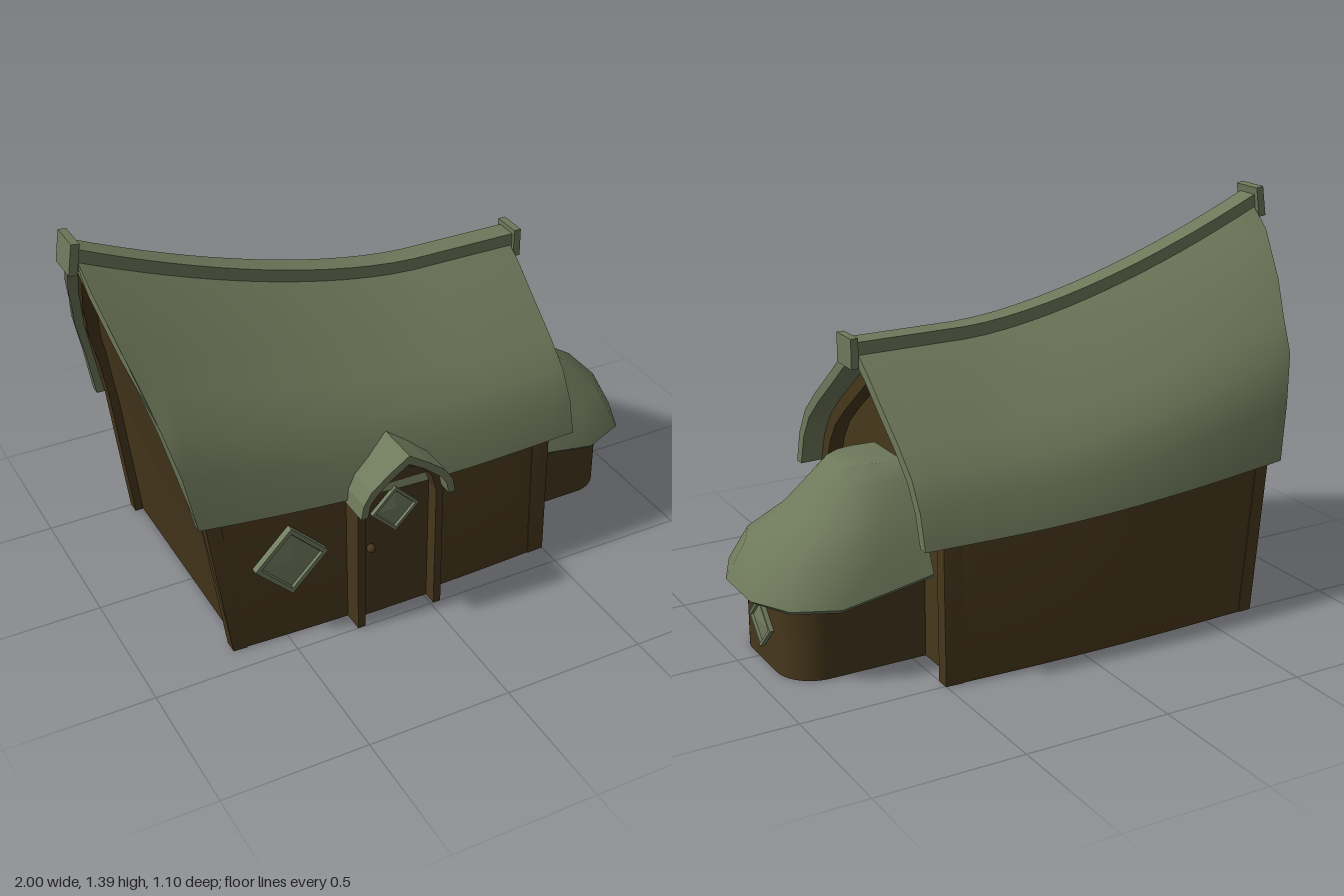
import * as THREE from 'three';
import { toCreasedNormals } from 'three/addons/utils/BufferGeometryUtils.js';

const thatch = new THREE.MeshStandardMaterial({ color: 0x6e785a });
const timber = new THREE.MeshStandardMaterial({ color: 0x46371c });
const pane = new THREE.MeshStandardMaterial({ color: 0x727c60, flatShading: true });
const V = (x, y, z) => new THREE.Vector3(x, y, z);
const lerp = THREE.MathUtils.lerp;
const CZ = -0.045; // centre line of the house

// Closed solid through matching loops; caps are triangulated on axes a, b.
function loft(loops, a, b, crease = 0.6) {
  const n = loops[0].length;
  const tris = [];
  for (let s = 0; s < loops.length - 1; s++) {
    for (let i = 0; i < n; i++) {
      const j = (i + 1) % n;
      const p = loops[s], q = loops[s + 1];
      tris.push([p[i], p[j], q[j]], [p[i], q[j], q[i]]);
    }
  }
  [loops[0], loops[loops.length - 1]].forEach((loop, end) => {
    const flat = loop.map(p => new THREE.Vector2(p[a], p[b]));
    const sign = Math.sign(THREE.ShapeUtils.area(flat));
    for (const f of THREE.ShapeUtils.triangulateShape(flat, [])) {
      const same = Math.sign(THREE.ShapeUtils.area(f.map(i => flat[i]))) === sign;
      const t = f.map(i => loop[i]);
      tris.push(same === (end === 1) ? t : t.reverse());
    }
  });
  // Turn the solid outward if its volume came out negative
  const volume = tris.reduce((v, [p, q, r]) => v + p.dot(q.clone().cross(r)), 0);
  if (volume < 0) tris.forEach(t => t.reverse());
  const g = new THREE.BufferGeometry().setFromPoints(tris.flat());
  return toCreasedNormals(g, crease);
}

function add(parent, name, geometry, material, x = 0, y = 0, z = 0) {
  const mesh = new THREE.Mesh(geometry, material);
  mesh.name = name;
  mesh.position.set(x, y, z);
  parent.add(mesh);
  return mesh;
}

// Roof profiles from ridge to eave: [half width, height] at each gable
const TALL = [[0, 1.345], [0.12, 1.25], [0.245, 1.1], [0.32, 0.99], [0.395, 0.88], [0.44, 0.72], [0.465, 0.53]];
const LOW = [[0, 1.02], [0.1, 0.95], [0.2, 0.865], [0.31, 0.775], [0.4, 0.69], [0.455, 0.595], [0.485, 0.48]];
const END_X = [-0.965, -0.955, -0.92, -0.89, -0.865, -0.825, -0.79];
const INSET = [[0, 0.045], [0.02, 0.03], [0.022, 0.028], [0.025, 0.025], [0.03, 0.02], [0.035, 0.01], [0.035, 0]];
const bulge = u => 0.02 * Math.sin(Math.PI * u);

// Half profile at u (0 tall gable, 1 low gable), moved inward by d roof thicknesses
function profile(u, d, toGround) {
  const k = Math.pow(Math.max(0, 1 - u / 0.75), 1.6);
  const pts = END_X.map((x, j) => V(
    lerp(x, 0.58, u),
    lerp(LOW[j][1], TALL[j][1], k) - INSET[j][1] * d,
    Math.max(0, lerp(LOW[j][0], TALL[j][0], k) + bulge(u) * j / 6 - INSET[j][0] * d)));
  if (toGround) pts.push(V(lerp(-0.72, 0.575, u), 0, 0.49 + bulge(u) - 0.035 * d));
  return pts;
}

// Full arch from the front foot over the ridge to the back foot
function arch(u, d, toGround) {
  const half = profile(u, d, toGround);
  const front = half.slice().reverse().map(p => V(p.x, p.y, CZ + p.z));
  return front.concat(half.slice(1).map(p => V(p.x, p.y, CZ - p.z)));
}
const band = (u, d0, d1, ground) => arch(u, d0, ground).concat(arch(u, d1, ground).reverse());
const steps = (from, to, n) => Array.from({ length: n + 1 }, (_, i) => lerp(from, to, i / n));

// Shape with a symmetric outline given by its right half, foot to peak
const mirrored = half => half.concat(half.slice(0, -1).reverse().map(([x, y]) => [-x, y]));
function extrude(outline, depth) {
  const shape = new THREE.Shape(outline.map(p => new THREE.Vector2(...p)));
  return new THREE.ExtrudeGeometry(shape, { depth, bevelEnabled: false });
}

// Diamond window with a raised rim and a faceted pane
function diamond(parent, name, r, x, y, z, turn = 0) {
  const pts = [[0, 0], [r, 0], [r, 0.025], [r * 0.84, 0.025], [r * 0.8, 0.016], [0, 0.022]];
  const g = new THREE.LatheGeometry(pts.map(p => new THREE.Vector2(...p)), 4);
  g.rotateX(Math.PI / 2).rotateY(turn);
  add(parent, name, g, pane, x, y, z);
}

export function createModel() {
  const house = new THREE.Group();
  house.name = 'cottage';

  // Main walls and gable frames
  add(house, 'walls', loft(steps(0.045, 0.905, 16).map(u => arch(u, 1.05, true)), 'z', 'y'), timber);
  for (const [name, a, b] of [['tallGableFrame', 0.022, 0.06], ['lowGableFrame', 0.895, 0.943]]) {
    add(house, name, loft([a, b].map(u => band(u, 0.95, 2.3, true)), 'z', 'y'), timber);
  }

  // Swept roof with ridge beam and end blocks
  add(house, 'roof', loft(steps(0, 1, 20).map(u => band(u, 0, 1, false)), 'z', 'y'), thatch);
  const beam = steps(0, 1, 20).map(u => {
    const top = profile(u, 0)[0];
    return [[0.04, -0.06], [0.04, 0.015], [-0.04, 0.015], [-0.04, -0.06]]
      .map(([z, y]) => V(top.x + 0.005 * u, top.y + y, CZ + z));
  });
  add(house, 'ridgeBeam', loft(beam, 'z', 'y'), thatch);
  add(house, 'tallRidgeBlock', new THREE.BoxGeometry(0.028, 0.105, 0.115), thatch, -0.977, 1.333, CZ)
    .rotation.z = -0.15;
  add(house, 'lowRidgeBlock', new THREE.BoxGeometry(0.026, 0.1, 0.105), thatch, 0.598, 1.002, CZ);

  // Arched door with frame and canopy
  const door = new THREE.Group();
  door.name = 'doorway';
  door.position.x = -0.12;
  house.add(door);
  const inner = [[0.13, 0], [0.13, 0.47], [0.112, 0.535], [0.065, 0.585], [0, 0.605]];
  const outer = [[0.157, 0], [0.157, 0.485], [0.135, 0.555], [0.075, 0.612], [0, 0.65]];
  const lip = [[0.172, 0.485], [0.162, 0.535], [0.135, 0.578], [0.07, 0.63], [0, 0.677]];
  const under = [[0.148, 0.485], [0.138, 0.53], [0.115, 0.56], [0.055, 0.61], [0, 0.645]];
  const ring = (o, i) => mirrored(o).concat(mirrored(i).reverse());
  add(door, 'doorPanel', extrude(mirrored(inner), 0.08), timber, 0, 0, 0.37);
  add(door, 'doorFrame', extrude(ring(outer, inner), 0.13), timber, 0, 0, 0.37);
  add(door, 'doorCanopy', extrude(ring(lip, under), 0.17), thatch, 0, 0, 0.38);
  add(door, 'doorKnob', new THREE.SphereGeometry(0.016, 12, 8), timber, -0.09, 0.285, 0.464);
  diamond(door, 'doorWindow', 0.087, 0, 0.415, 0.44);
  diamond(house, 'frontWindow', 0.13, -0.485, 0.315, 0.416);

  // Side annex: rounded walls
  const plan = new THREE.Shape();
  const r = 0.13, w = 0.23, end = 0.922;
  plan.moveTo(0.42, -w);
  plan.lineTo(end - r, -w);
  plan.absarc(end - r, -w + r, r, -Math.PI / 2, 0, false);
  plan.absarc(end - r, w - r, r, 0, Math.PI / 2, false);
  plan.lineTo(0.42, w);
  const annex = new THREE.ExtrudeGeometry(plan, { depth: 0.33, bevelEnabled: false, curveSegments: 8 });
  annex.rotateX(-Math.PI / 2);
  add(house, 'annexWalls', toCreasedNormals(annex, 0.6), timber, 0, 0, -0.04);
  diamond(house, 'annexWindow', 0.087, 0.912, 0.14, CZ, Math.PI / 2);

  // Annex roof: half outlines [x, half width, y] from the eave upward
  const rings = [
    [[0.46, 0.305, 0.305], [0.62, 0.305, 0.278], [0.78, 0.305, 0.252], [0.925, 0.245, 0.255], [0.985, 0.1, 0.25]],
    [[0.46, 0.318, 0.32], [0.62, 0.318, 0.292], [0.78, 0.316, 0.265], [0.93, 0.255, 0.268], [1, 0.105, 0.262]],
    [[0.46, 0.28, 0.41], [0.62, 0.28, 0.4], [0.76, 0.27, 0.39], [0.88, 0.2, 0.39], [0.935, 0.08, 0.395]],
    [[0.46, 0.225, 0.5], [0.6, 0.225, 0.495], [0.7, 0.2, 0.485], [0.77, 0.14, 0.48], [0.81, 0.06, 0.48]],
    [[0.46, 0.16, 0.6], [0.58, 0.16, 0.6], [0.64, 0.14, 0.59], [0.68, 0.1, 0.585], [0.7, 0.04, 0.585]],
    [[0.46, 0.1, 0.64], [0.55, 0.1, 0.642], [0.6, 0.09, 0.642], [0.645, 0.07, 0.637], [0.66, 0.03, 0.635]],
  ];
  const loops = rings.map(half => [
    ...half.map(([x, h, y]) => V(x, y, -0.035 + h)),
    ...half.slice().reverse().map(([x, h, y]) => V(x, y, -0.035 - h)),
  ]);
  add(house, 'annexRoof', loft(loops, 'x', 'z', 0.8), thatch);

  return house;
}
